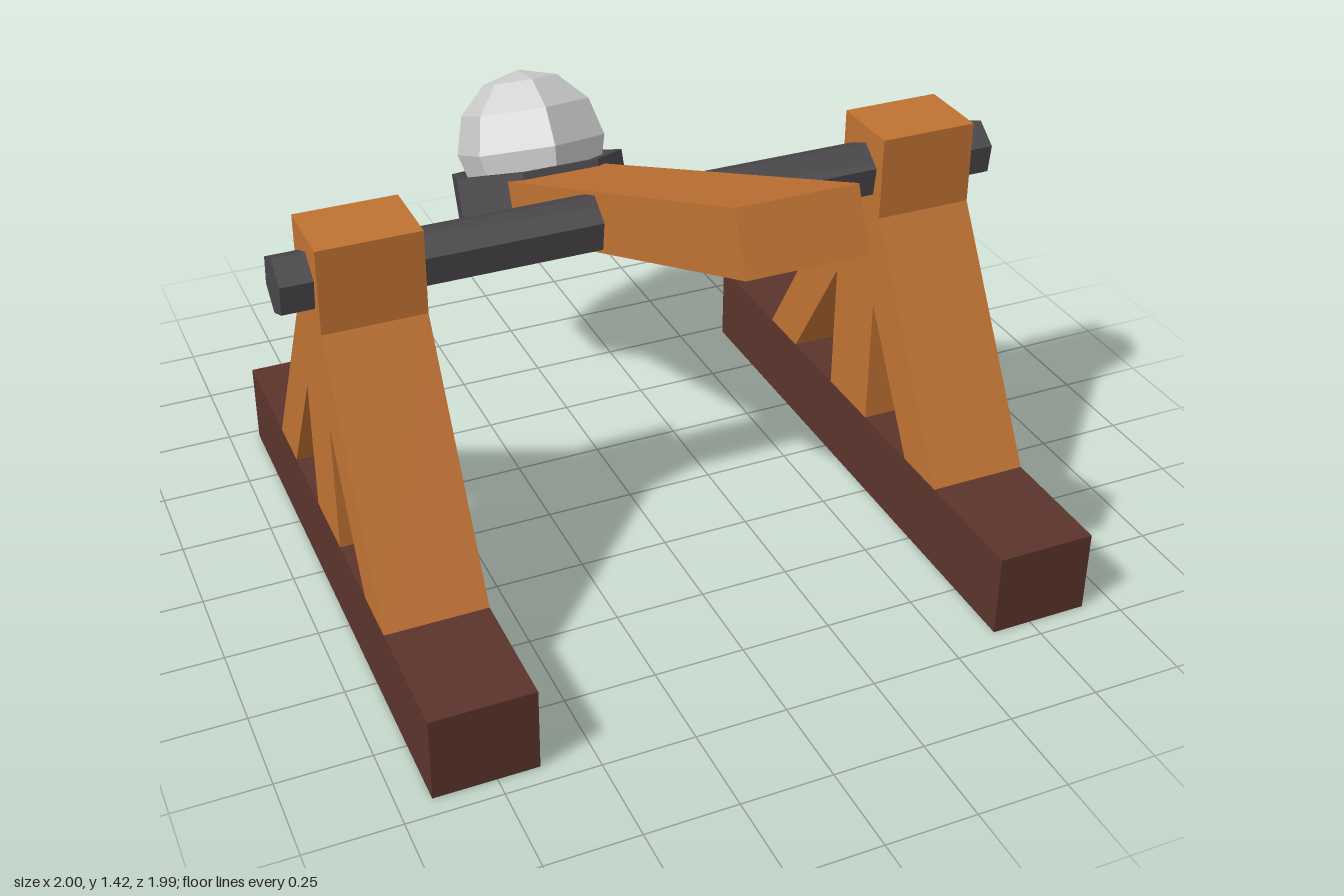
import * as THREE from 'three';

const material = (color) => new THREE.MeshStandardMaterial({ color, flatShading: true });

export function createModel() {
  const wood = material(0xc07233);
  const darkWood = material(0x5a342b);
  const iron = material(0x4a474b);
  const stone = material(0xcccccc);

  const model = new THREE.Group();
  model.name = 'catapult';

  const add = (parent, name, geometry, mat, x = 0, y = 0, z = 0) => {
    const mesh = new THREE.Mesh(geometry, mat);
    mesh.name = name;
    mesh.position.set(x, y, z);
    parent.add(mesh);
    return mesh;
  };

  const pivotY = 0.984, pivotZ = 0.115;
  const width = 0.275, baseTop = 0.235;

  // Post with two diagonal braces, as one outline around the pivot line
  const half = [[0.105, 1.113], [0.105, 0.88], [0.49, baseTop], [0.33, baseTop], [0.105, 0.61], [0.105, baseTop]];
  const mirrored = half.map(([z, y]) => [-z, y]).reverse();
  const outline = new THREE.Shape([...half, ...mirrored].map(([z, y]) => new THREE.Vector2(z, y)));
  const frame = new THREE.ExtrudeGeometry(outline, { depth: width, bevelEnabled: false });
  frame.translate(0, 0, -width / 2).rotateY(-Math.PI / 2);

  // Side supports
  for (const [side, sign] of [['left', 1], ['right', -1]]) {
    const x = sign * 0.777;
    add(model, side + 'BaseBeam', new THREE.BoxGeometry(width, baseTop, 1.668), darkWood, x, baseTop / 2, 0.112);
    add(model, side + 'BracedPost', frame, wood, x, 0, pivotZ);
  }

  // Tilting assembly: the arm runs along local z, its low end at the back
  const swing = new THREE.Group();
  swing.name = 'swingingArm';
  swing.position.set(0, pivotY, pivotZ);
  swing.rotation.x = -0.4;
  model.add(swing);

  add(swing, 'axle', new THREE.CylinderGeometry(0.082, 0.082, 2, 6).rotateZ(Math.PI / 2), iron);
  add(swing, 'throwingArm', new THREE.BoxGeometry(0.304, 0.162, 1.848), wood);

  // Seven-sided bucket with a shallow recess
  const profile = [[0, -0.06], [0.27, -0.06], [0.27, 0.102], [0.235, 0.102], [0.225, 0.084], [0, 0.084]]
    .map(([r, y]) => new THREE.Vector2(r, y));
  add(swing, 'bucket', new THREE.LatheGeometry(profile, 7, Math.PI), iron, 0, 0, -0.882);

  // Stone ball resting in the bucket
  add(swing, 'stoneBall', new THREE.SphereGeometry(0.228, 6, 6).rotateY(Math.PI / 2), stone, 0, 0.16, -0.885);

  return model;
}
